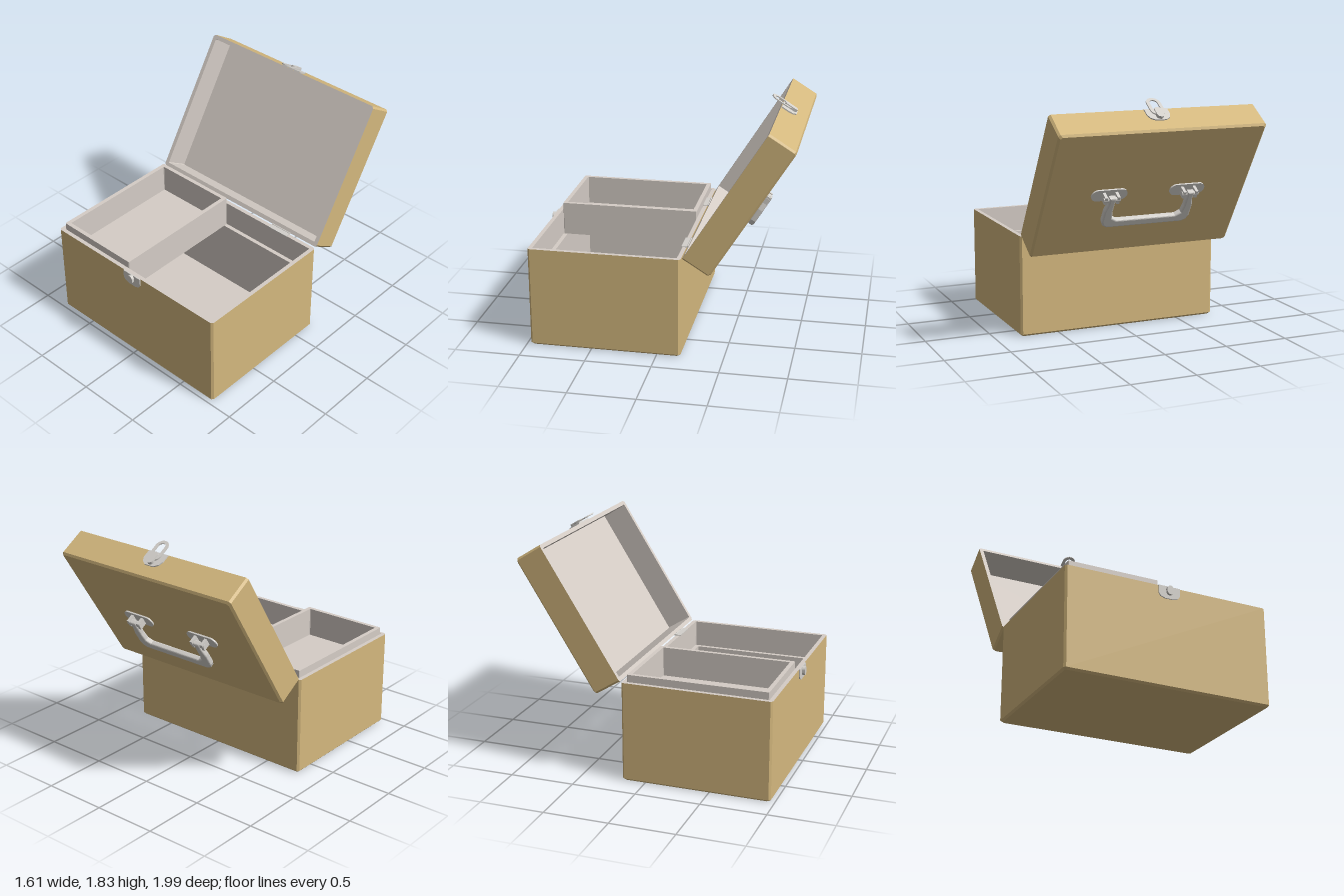
import * as THREE from 'three';

const mat = (name, color) => Object.assign(new THREE.MeshStandardMaterial({ color }), { name });

export function createModel() {
  const tan = mat('tan shell', 0xd4b87e);
  const lining = mat('pale lining', 0xd5cdc6);
  const metal = mat('pale metal', 0xd3d0cb);
  const model = new THREE.Group();
  model.name = 'openCase';

  const add = (parent, name, geo, material, x = 0, y = 0, z = 0) => {
    const mesh = new THREE.Mesh(geo, material);
    mesh.name = name;
    mesh.position.set(x, y, z);
    parent.add(mesh);
    return mesh;
  };
  const box = (w, h, d) => new THREE.BoxGeometry(w, h, d);

  // Skin over rectangular rings with cut corners: each step is [inset, y, cut]; inset null closes at the centre
  function skin(w, d, steps) {
    const rings = steps.map(([inset, y, c = 0.004]) => {
      if (inset === null) return Array(8).fill([0, y, 0]);
      const a = w / 2 - inset, b = d / 2 - inset;
      return [[a, b - c], [a - c, b], [c - a, b], [-a, b - c], [-a, c - b], [c - a, -b], [a - c, -b], [a, c - b]]
        .map(([x, z]) => [x, y, z]);
    });
    const pos = [];
    for (let r = 0; r + 1 < rings.length; r++) {
      const lo = rings[r], hi = rings[r + 1];
      for (let i = 0; i < 8; i++) {
        const j = (i + 1) % 8;
        if (steps[r][0] !== null) pos.push(...lo[i], ...hi[i], ...lo[j]);
        if (steps[r + 1][0] !== null) pos.push(...lo[j], ...hi[i], ...hi[j]);
      }
    }
    const geo = new THREE.BufferGeometry();
    geo.setAttribute('position', new THREE.Float32BufferAttribute(pos, 3));
    geo.computeVertexNormals();
    return geo;
  }

  // Open box: tan outside, pale rim and inside, with an optional inner ledge
  function openCase(parent, name, w, d, h, wall, floor, ledgeY) {
    const half = new THREE.Group();
    half.name = name;
    const e = 0.015;
    add(half, name + 'Shell', skin(w, d, [[null, 0], [e, 0, e], [0, e, e], [0, h, e]]), tan);
    const inside = [[0, h, e], [wall, h]];
    if (ledgeY) inside.push([wall, ledgeY], [wall * 2, ledgeY], [wall * 2, floor]);
    else inside.push([wall, floor]);
    inside.push([null, floor]);
    add(half, name + 'Lining', skin(w, d, inside), lining);
    parent.add(half);
    return half;
  }

  const W = 1.61, D = 1.15, H = 0.775;
  openCase(model, 'base', W, D, H, 0.032, 0.03, 0.57).position.z = 0.395;

  // Lift-out tray on the ledge
  add(model, 'tray', skin(0.7, 1.08, [[null, 0], [0, 0], [0, 0.26], [0.032, 0.26], [0.032, 0.03], [null, 0.03]]),
    lining, -0.42, 0.57, 0.395);

  // Lid, hinged at the back edge
  const lid = new THREE.Group();
  lid.name = 'lid';
  lid.position.set(0, 0.78, -0.19);
  lid.rotation.x = -2.13;
  model.add(lid);
  const T = 0.236;
  const lidCase = openCase(lid, 'lidCase', W, D, T, 0.032, 0.024);
  lidCase.rotation.z = Math.PI;
  lidCase.position.set(0, T, D / 2);

  // Hinges
  for (const s of [-1, 1]) {
    add(model, 'hingeLeaf', box(0.18, 0.006, 0.05), metal, s * 0.46, H + 0.003, -0.165);
    add(model, 'hingePin', new THREE.CylinderGeometry(0.007, 0.007, 0.18, 10).rotateZ(Math.PI / 2), metal, s * 0.46, H + 0.004, -0.187);
  }

  const shape = pts => new THREE.Shape(pts.map(p => new THREE.Vector2(...p)));
  const extrude = (s, depth, bevel = 0) => new THREE.ExtrudeGeometry(s, {
    depth, bevelEnabled: bevel > 0, bevelSize: bevel, bevelThickness: bevel, bevelOffset: -bevel, bevelSegments: 3, curveSegments: 10,
  });
  // Upright rounded slot, half-width r, between end centres y0 and y1
  const slot = (r, y0, y1, Type = THREE.Shape) => {
    const s = new Type();
    s.absarc(0, y1, r, 0, Math.PI, false);
    s.absarc(0, y0, r, Math.PI, Math.PI * 2, false);
    s.closePath();
    return s;
  };

  // Catch on the base front
  const catchPlate = shape([[-0.085, 0], [-0.085, -0.06], [-0.07, -0.083], [-0.035, -0.095], [0.035, -0.095], [0.07, -0.083], [0.085, -0.06], [0.085, 0]]);
  add(model, 'catchPlate', extrude(catchPlate, 0.009), metal, 0, H, 0.97);
  add(model, 'catchBoss', extrude(slot(0.026, -0.043, -0.026), 0.021), metal, 0, H, 0.979);

  // Hasp on the lid front: plate, knuckle and slotted loop
  const haspPlate = shape([[-0.09, 0.004], [-0.09, 0.07], [-0.075, 0.105], [-0.04, 0.128], [0.04, 0.128], [0.075, 0.105], [0.09, 0.07], [0.09, 0.004]]);
  add(lid, 'haspPlate', extrude(haspPlate, 0.009), metal, 0, 0, D);
  add(lid, 'haspKnuckle', extrude(slot(0.026, 0.04, 0.095), 0.022), metal, 0, 0, D + 0.009);
  const loop = slot(0.055, -0.042, 0.035);
  loop.holes.push(slot(0.03, -0.042, 0.025, THREE.Path));
  add(lid, 'haspLoop', extrude(loop, 0.008), metal, 0, 0, D + 0.016);

  // Carrying handle on the lid top, folded toward the hinge
  const handle = new THREE.Group();
  handle.name = 'handle';
  handle.position.set(0, T, 0.58);
  lid.add(handle);
  for (const s of [-1, 1]) {
    const x = s * 0.31;
    add(handle, 'handlePlate', extrude(slot(0.05, -0.09, 0.09), 0.012).rotateZ(Math.PI / 2).rotateX(-Math.PI / 2), metal, x, 0, 0);
    for (const k of [-1, 1])
      add(handle, 'handleLug', box(0.022, 0.065, 0.06), metal, x + k * 0.048, 0.042, 0);
    add(handle, 'handlePin', new THREE.CylinderGeometry(0.018, 0.018, 0.13, 14).rotateZ(Math.PI / 2), metal, x, 0.058, 0);
  }
  const grip = shape([
    [-0.335, 0.028], [-0.335, -0.03], [-0.35, -0.1], [-0.35, -0.2], [-0.335, -0.235], [-0.3, -0.255],
    [0.3, -0.255], [0.335, -0.235], [0.35, -0.2], [0.35, -0.1], [0.335, -0.03], [0.335, 0.028],
    [0.285, 0.028], [0.285, -0.1], [0.275, -0.165], [0.235, -0.19],
    [-0.235, -0.19], [-0.275, -0.165], [-0.285, -0.1], [-0.285, 0.028],
  ]);
  add(handle, 'grip', extrude(grip, 0.021, 0.012).rotateX(Math.PI / 2), metal, 0, 0.071, 0);

  return model;
}
